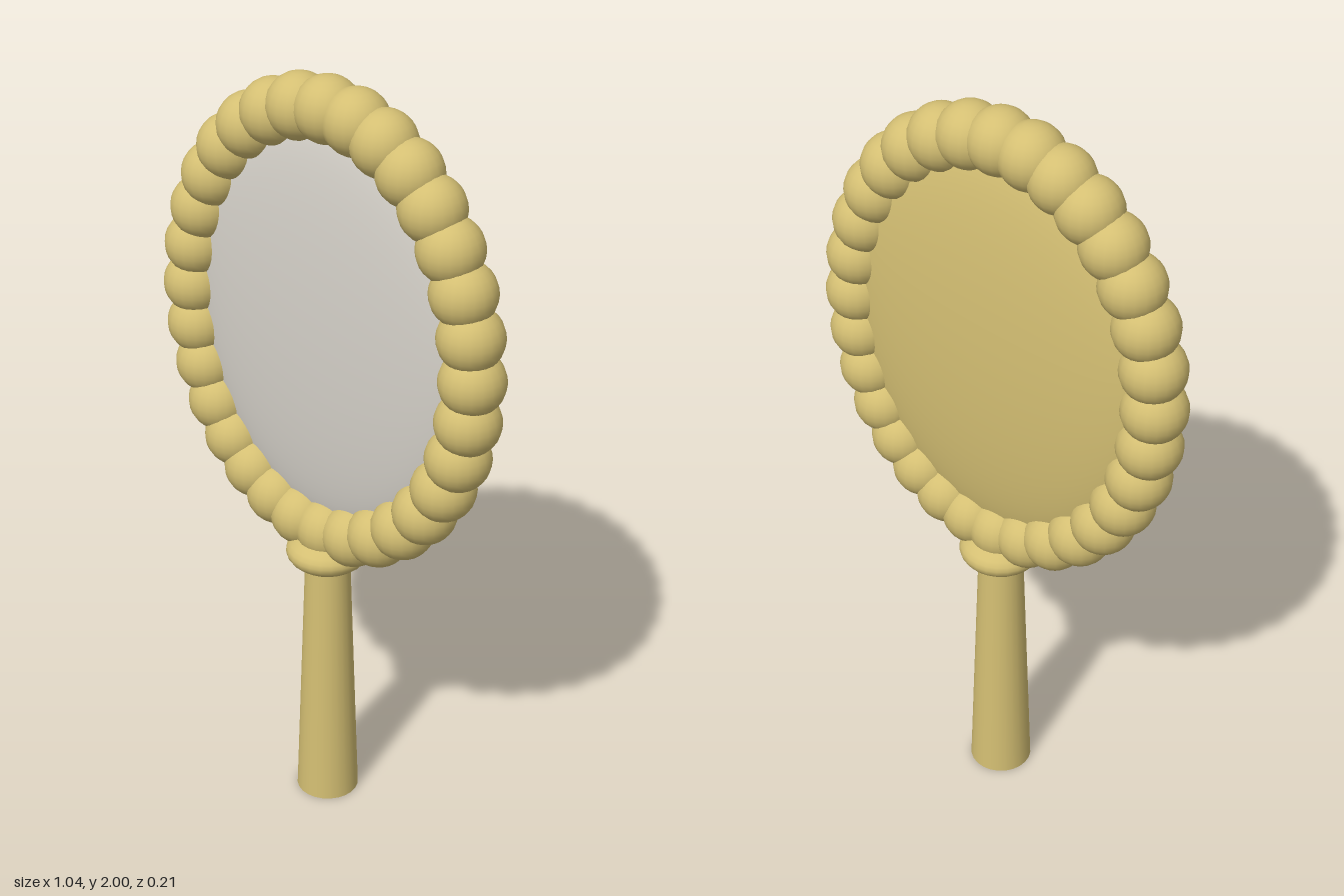
import * as THREE from 'three';

export function createModel() {
  const model = new THREE.Group();
  model.name = 'handMirror';

  const gold = new THREE.MeshStandardMaterial({ color: 0xd4bf73 });
  gold.name = 'gold';
  const silver = new THREE.MeshStandardMaterial({ color: 0xd4d0c8 });
  silver.name = 'silver glass';

  const add = (name, geometry, material, y, parent = model) => {
    const mesh = new THREE.Mesh(geometry, material);
    mesh.name = name;
    mesh.position.y = y;
    parent.add(mesh);
    return mesh;
  };

  const centreY = 1.36;

  // Shallow oval dome bulging toward +z
  const dome = (rx, ry, depth) =>
    new THREE.SphereGeometry(1, 48, 16, 0, Math.PI * 2, 0, Math.PI / 2)
      .rotateX(Math.PI / 2)
      .scale(rx, ry, depth);

  add('glass', dome(0.41, 0.53, 0.06), silver, centreY);
  add('backPlate', dome(0.43, 0.55, 0.08).rotateY(Math.PI), gold, centreY);

  // Oval ring of overlapping beads
  const frame = new THREE.Group();
  frame.name = 'beadedFrame';
  model.add(frame);
  const beadGeometry = new THREE.SphereGeometry(0.082, 20, 14);
  const beadCount = 32;
  for (let i = 0; i < beadCount; i++) {
    const a = (i / beadCount) * Math.PI * 2;
    const bead = add('bead', beadGeometry, gold, centreY + 0.558 * Math.sin(a), frame);
    bead.position.x = 0.436 * Math.cos(a);
  }

  // Flattened collar between frame and handle
  add('collar', new THREE.SphereGeometry(0.107, 24, 14).scale(1, 0.5, 1), gold, 0.738);

  // Handle flaring toward its foot
  add('handle', new THREE.CylinderGeometry(0.057, 0.082, 0.74, 24), gold, 0.37);

  return model;
}
